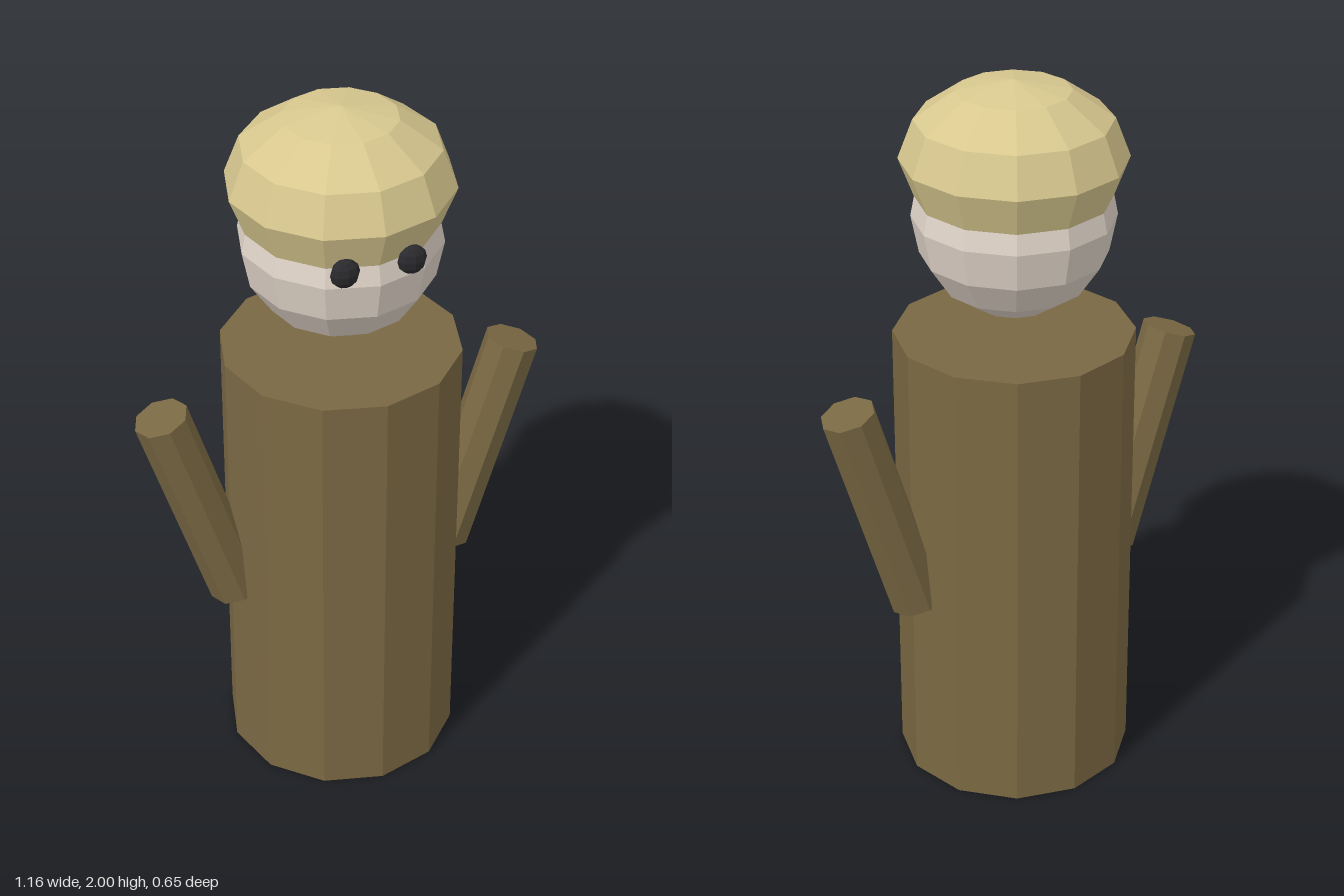
import * as THREE from 'three';

const material = (color) => new THREE.MeshStandardMaterial({ color, flatShading: true });

export function createModel() {
  const model = new THREE.Group();
  model.name = 'peg figure';

  const wood = material(0x7a6843);
  const darkWood = material(0x4a3a26);
  const skin = material(0xe0d4c8);
  const straw = material(0xd8c88f);
  const black = material(0x2a2a2e);

  const add = (name, geometry, mat, x, y, z) => {
    const mesh = new THREE.Mesh(geometry, mat);
    mesh.name = name;
    mesh.position.set(x, y, z);
    model.add(mesh);
    return mesh;
  };

  // Twelve-sided trunk
  add('body', new THREE.CylinderGeometry(0.325, 0.325, 1.3, 12), wood, 0, 0.65, 0);

  // Head floating just above the trunk, with a squashed cap
  add('head', new THREE.SphereGeometry(0.27, 12, 8), skin, 0, 1.63, 0);
  add('cap', new THREE.SphereGeometry(0.3, 12, 6), straw, 0, 1.79, 0).scale.y = 0.7;

  // Mirrored arms, eyes and feet
  for (const [side, s] of [['left', 1], ['right', -1]]) {
    const arm = add(side + 'Arm', new THREE.CylinderGeometry(0.075, 0.075, 0.65, 8), wood, s * 0.41, 0.87, 0);
    arm.rotation.z = -s * 0.3;

    const eye = add(side + 'Eye', new THREE.SphereGeometry(0.04, 8, 6), black, s * 0.09, 1.68, 0.255);
    eye.scale.z = 0.65;

    // Feet sit inside the trunk, flush with its underside
    add(side + 'Foot', new THREE.CylinderGeometry(0.08, 0.08, 0.06, 10), darkWood, s * 0.12, 0.0295, 0);
  }

  return model;
}
